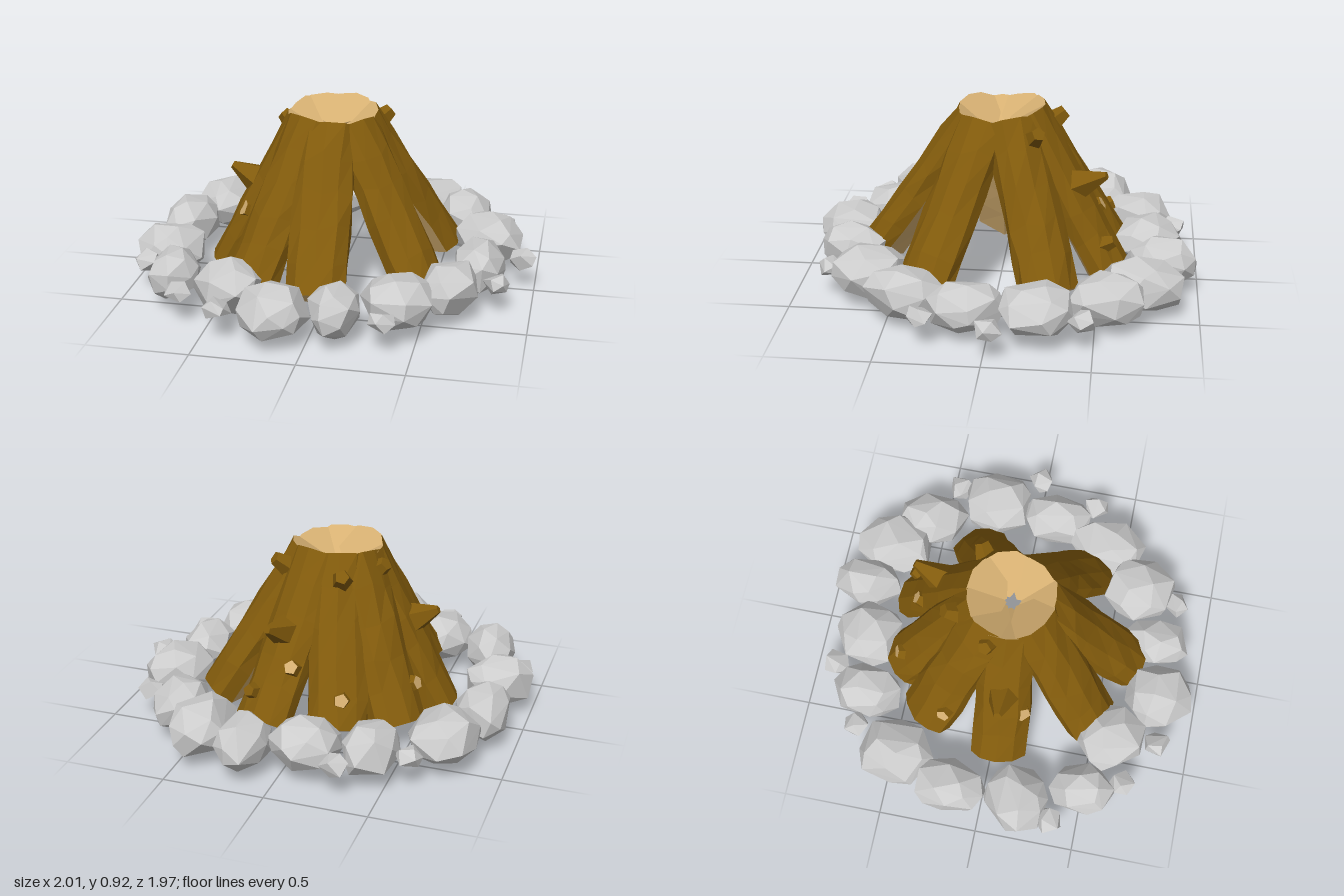
import * as THREE from 'three';
import { ConvexGeometry } from 'three/addons/geometries/ConvexGeometry.js';

const mat = (color) => new THREE.MeshStandardMaterial({ color, flatShading: true, roughness: 1 });
const bark = mat(0x825b0c), wood = mat(0xd6b072), stone = mat(0xcccccc);

// Small seeded generator, values in -1..1
function seeded(seed) {
  let s = seed * 7919 + 17;
  return () => {
    s = (s * 16807) % 2147483647;
    return (s / 2147483647) * 2 - 1;
  };
}

function addMesh(parent, name, geometry, material) {
  const mesh = new THREE.Mesh(geometry, material);
  mesh.name = name;
  parent.add(mesh);
}

function fromTriangles(points) {
  const g = new THREE.BufferGeometry().setFromPoints(points);
  g.computeVertexNormals();
  return g;
}

// Split log section: [outward, sideways], the sharp split edge comes first
const SECTION = [[0, 0], [0.09, -0.14], [0.155, -0.14], [0.205, -0.085], [0.225, 0],
  [0.205, 0.085], [0.155, 0.14], [0.09, 0.14]];
const THICK = 0.225, RINGS = 5;
const CENTRE_X = -0.03;

// Log leaning to the centre; footR and footY place the outer edge of its foot
function makeLog(angleDeg, footR, footY, topY, seed) {
  const rand = seeded(seed);
  const a = THREE.MathUtils.degToRad(angleDeg);
  const at = (r, y) => new THREE.Vector3(CENTRE_X + r * Math.cos(a), y, r * Math.sin(a));
  const foot = at(footR, footY), top = at(0.22, topY);
  const T = top.clone().sub(foot).normalize();
  const V = new THREE.Vector3(Math.sin(a), 0, -Math.cos(a));
  const U = V.clone().cross(T);

  const rings = [];
  for (let k = 0; k <= RINGS; k++) {
    const base = foot.clone().lerp(top, k / RINGS);
    const inner = k > 0 && k < RINGS;
    rings.push(SECTION.map(([u, v], i) => {
      const n = i === 0 ? 0 : 0.008;
      const slide = inner && i > 1 && i < 7 ? rand() * 0.03 : 0;
      return base.clone()
        .addScaledVector(U, u - THICK + rand() * n)
        .addScaledVector(V, v + rand() * n)
        .addScaledVector(T, slide);
    }));
  }

  const barkTris = [], woodTris = [], n = SECTION.length;
  for (let k = 0; k < RINGS; k++) {
    for (let i = 0; i < n; i++) {
      const j = (i + 1) % n, lo = rings[k], hi = rings[k + 1];
      const target = i === 0 || j === 0 ? woodTris : barkTris;
      target.push(lo[i], lo[j], hi[j], lo[i], hi[j], hi[i]);
    }
  }
  for (let i = 1; i < n - 1; i++) {
    woodTris.push(rings[RINGS][0], rings[RINGS][i], rings[RINGS][i + 1]);
    woodTris.push(rings[0][0], rings[0][i + 1], rings[0][i]);
  }
  const log = new THREE.Group();
  log.name = 'log';
  addMesh(log, 'logBark', fromTriangles(barkTris), bark);
  addMesh(log, 'splitWood', fromTriangles(woodTris), wood);
  return log;
}

// Broken branch between two points, ending in bark or in bare wood
function makeStub(from, to, r0, r1, end) {
  const a = new THREE.Vector3(...from), b = new THREE.Vector3(...to);
  const d = b.clone().sub(a);
  const g = new THREE.CylinderGeometry(r1, r0, d.length(), 5, 1);
  const stub = new THREE.Mesh(g, [bark, end, bark]);
  stub.name = 'branchStub';
  stub.position.copy(a).add(b).multiplyScalar(0.5);
  stub.quaternion.setFromUnitVectors(new THREE.Vector3(0, 1, 0), d.normalize());
  return stub;
}

// Faceted rock: hull of jittered points on a sphere, fitted to half sizes
function makeRock(x, y, z, hx, hy, hz, count, seed) {
  const rand = seeded(seed), pts = [];
  for (let i = 0; i < count; i++) {
    const h = 1 - (2 * (i + 0.5)) / count, r = Math.sqrt(1 - h * h);
    const ang = i * 2.39996 + seed + rand() * 0.35;
    const p = new THREE.Vector3(r * Math.cos(ang), h + rand() * 0.1, r * Math.sin(ang));
    pts.push(p.normalize().multiplyScalar(1 + rand() * 0.06));
  }
  const box = new THREE.Box3().setFromPoints(pts);
  const c = box.getCenter(new THREE.Vector3()), s = box.getSize(new THREE.Vector3());
  const half = new THREE.Vector3(hx, hy, hz).multiplyScalar(2).divide(s);
  pts.forEach((p) => p.sub(c).multiply(half));
  const rock = new THREE.Mesh(new ConvexGeometry(pts), stone);
  rock.position.set(x, y, z);
  return rock;
}

export function createModel() {
  const model = new THREE.Group();
  model.name = 'campfire';

  // Logs: angle, foot radius, foot height, top height
  const logs = new THREE.Group();
  logs.name = 'logs';
  [[86.5, 0.7, 0.21, 0.905], [123, 0.65, 0.2, 0.915], [176, 0.625, 0.11, 0.885],
    [220, 0.645, 0.18, 0.91], [252, 0.645, 0.19, 0.92], [290, 0.67, 0.19, 0.925],
    [332, 0.68, 0.19, 0.91], [33.5, 0.69, 0.19, 0.9],
  ].forEach((p, i) => logs.add(makeLog(...p, i + 3)));
  model.add(logs);

  // Broken branches and knots
  const stubs = new THREE.Group();
  stubs.name = 'branchStubs';
  [
    [[-0.36, 0.49, 0.03], [-0.54, 0.585, 0.03], 0.11, 0.02, bark],
    [[0.1, 0.53, -0.33], [0.15, 0.62, -0.53], 0.11, 0.02, bark],
    [[-0.38, 0.36, 0.09], [-0.46, 0.4, 0.14], 0.065, 0.045, wood],
    [[-0.22, 0.77, -0.06], [-0.3, 0.84, -0.08], 0.065, 0.035, bark],
    [[-0.12, 0.77, -0.22], [-0.15, 0.84, -0.31], 0.065, 0.035, bark],
    [[0.15, 0.78, -0.15], [0.23, 0.85, -0.2], 0.065, 0.035, bark],
    [[-0.43, 0.28, -0.24], [-0.52, 0.32, -0.26], 0.06, 0.035, wood],
    [[-0.2, 0.28, -0.46], [-0.23, 0.32, -0.56], 0.06, 0.035, wood],
    [[0.04, 0.37, -0.42], [0.04, 0.43, -0.51], 0.065, 0.035, wood],
    [[0.21, 0.27, -0.5], [0.23, 0.31, -0.58], 0.055, 0.03, bark],
  ].forEach((s) => stubs.add(makeStub(...s)));
  model.add(stubs);

  // Ring of large stones: x, z, half width, half depth
  const ring = new THREE.Group();
  ring.name = 'stoneRing';
  [
    [-0.11, -0.745, 0.17, 0.175], [0.16, -0.81, 0.12, 0.18], [0.425, -0.725, 0.155, 0.195],
    [0.59, -0.55, 0.14, 0.18], [0.75, -0.235, 0.17, 0.175], [0.73, 0.095, 0.13, 0.185],
    [0.615, 0.4, 0.145, 0.2], [0.395, 0.61, 0.175, 0.18], [0.125, 0.74, 0.125, 0.17],
    [-0.155, 0.805, 0.175, 0.175], [-0.43, 0.59, 0.17, 0.17], [-0.715, 0.495, 0.125, 0.165],
    [-0.83, 0.175, 0.17, 0.165], [-0.82, -0.155, 0.13, 0.175], [-0.7, -0.465, 0.165, 0.195],
    [-0.42, -0.69, 0.13, 0.18],
  ].forEach(([x, z, hx, hz], i) => {
    const rock = makeRock(x, 0.172 + 0.006 * Math.sin(i * 2), z, hx, 0.128, hz, 24, i + 1);
    rock.name = 'largeStone';
    ring.add(rock);
  });

  // Pebbles tucked between the large stones
  [
    [-0.3, -0.87], [-0.6, -0.7], [0.81, -0.44], [0.94, -0.03], [0.83, 0.3],
    [0.36, 0.81], [-0.41, 0.83], [-0.64, 0.69], [-0.91, 0.36],
  ].forEach(([x, z], i) => {
    const rock = makeRock(x, 0.165, z, 0.065, 0.05, 0.065, 10, i + 40);
    rock.name = 'pebble';
    ring.add(rock);
  });
  model.add(ring);
  return model;
}
